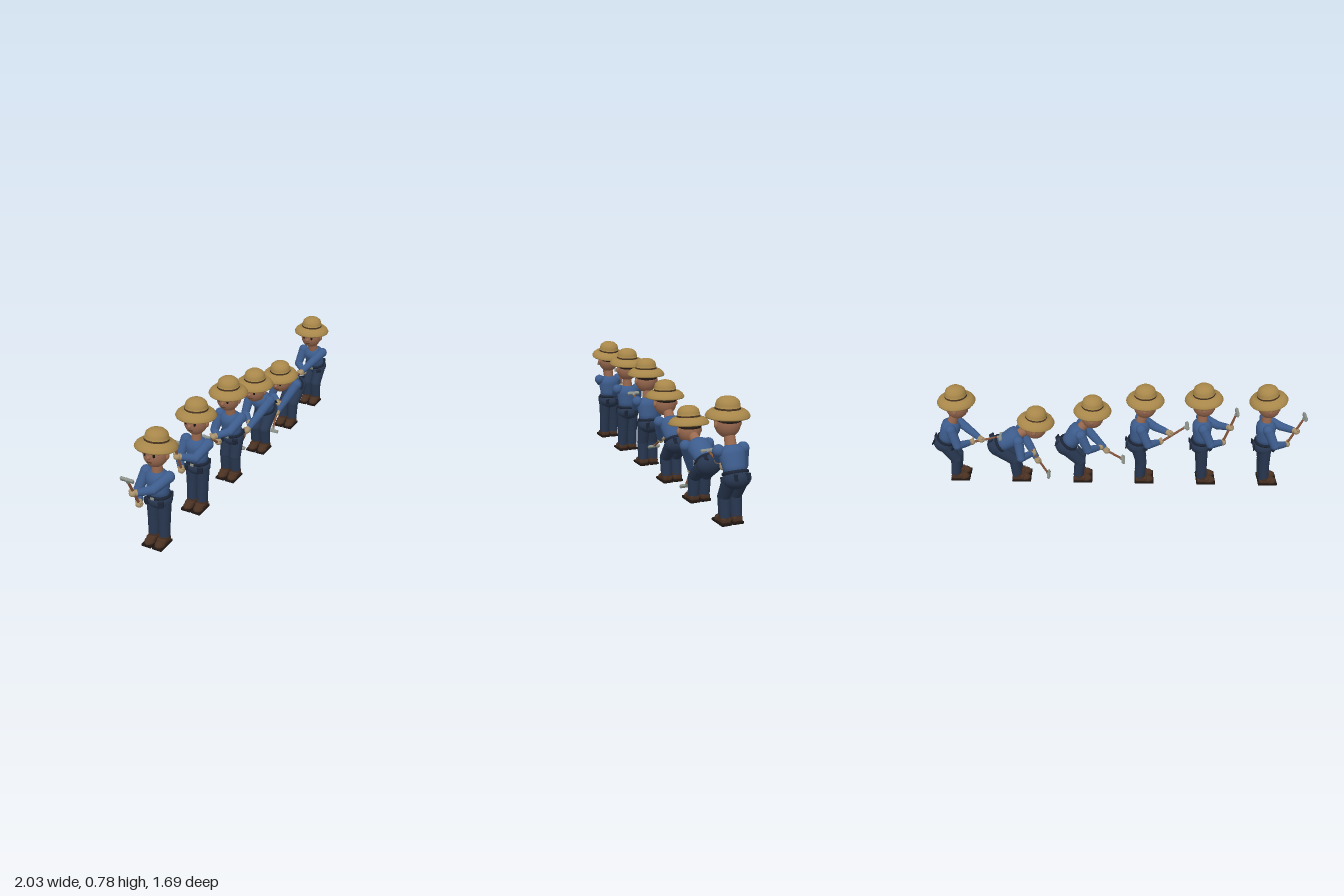
import * as THREE from 'three';
import { RoundedBoxGeometry } from 'three/addons/geometries/RoundedBoxGeometry.js';

const mat = (color, side = THREE.FrontSide) => new THREE.MeshStandardMaterial({ color, side });
const M = {
  straw: mat(0xa8874a, THREE.DoubleSide), band: mat(0x4a3622), hair: mat(0x2c211b), skin: mat(0x9a6a50),
  shirt: mat(0x3d5c8c), pants: mat(0x27364f), belt: mat(0x1c2536), shoe: mat(0x4a3122), sole: mat(0x1e1511),
  glove: mat(0xa8916c), wood: mat(0x85543a), metal: mat(0x8a9088), eye: mat(0x1a1412),
};
const V = (x, y, z) => new THREE.Vector3(x, y, z);
const UP = V(0, 1, 0);

function add(parent, name, geo, material, pos = V(0, 0, 0), scale) {
  const m = new THREE.Mesh(geo, material);
  m.name = name;
  m.position.copy(pos);
  if (scale) m.scale.set(...scale);
  parent.add(m);
  return m;
}
const ball = (r = 1) => new THREE.SphereGeometry(r, 20, 14);
const lathe = (pts, n = 28) => new THREE.LatheGeometry(pts.map(p => new THREE.Vector2(...p)), n);

// Tapered rod between two points
function rod(parent, name, a, b, ra, rb, material) {
  const d = b.clone().sub(a);
  const m = add(parent, name, new THREE.CylinderGeometry(rb, ra, d.length(), 16), material, a.clone().lerp(b, 0.5));
  m.quaternion.setFromUnitVectors(UP, d.normalize());
  return m;
}

// Middle joint of a two-bone limb, bent towards the pole direction
function joint(a, b, la, lb, pole) {
  const d = b.clone().sub(a), len = d.length();
  d.normalize();
  const along = Math.min(la, (la * la - lb * lb + len * len) / (2 * len));
  const out = Math.sqrt(Math.max(0, la * la - along * along));
  const p = pole.clone().addScaledVector(d, -pole.dot(d)).normalize();
  return len >= la + lb ? a.clone().lerp(b, la / (la + lb)) : a.clone().addScaledVector(d, along).addScaledVector(p, out);
}

function makeHead(pose) {
  const g = new THREE.Group();
  g.name = 'head';
  g.position.set(0, pose.head[1], pose.head[0]);
  g.rotation.x = pose.pitch;
  add(g, 'face', ball(), M.skin, V(0, -0.005, 0), [0.076, 0.088, 0.078]);
  add(g, 'hair', ball(), M.hair, V(0, 0.03, -0.01), [0.078, 0.055, 0.077]);
  add(g, 'nose', ball(), M.skin, V(0, -0.015, 0.079), [0.011, 0.012, 0.013]);
  add(g, 'mouth', new RoundedBoxGeometry(0.03, 0.005, 0.008, 2, 0.002), M.hair, V(0, -0.046, 0.066));
  for (const s of [-1, 1]) {
    add(g, 'ear', ball(), M.skin, V(s * 0.076, -0.012, -0.005), [0.01, 0.02, 0.015]);
    add(g, 'eye', ball(), M.eye, V(s * 0.029, 0, 0.069), [0.009, 0.013, 0.006]);
    const brow = add(g, 'eyebrow', new RoundedBoxGeometry(0.024, 0.006, 0.008, 2, 0.002), M.hair, V(s * 0.03, 0.022, 0.07));
    brow.rotation.y = s * 0.4;
  }
  // Straw hat with drooping brim and domed crown
  const hat = new THREE.Group();
  hat.name = 'hat';
  hat.position.y = 0.06;
  add(hat, 'brimAndCrown', lathe([[0.07, -0.004], [0.1, -0.012], [0.118, -0.03], [0.126, -0.032], [0.129, -0.024],
    [0.118, -0.005], [0.1, 0.009], [0.073, 0.015], [0.071, 0.04], [0.064, 0.062], [0.045, 0.078], [0.02, 0.085], [0, 0.086]]), M.straw);
  add(hat, 'hatBand', new THREE.CylinderGeometry(0.0735, 0.0745, 0.011, 28, 1, true), M.band, V(0, 0.02, 0));
  add(hat, 'hatLining', lathe([[0, 0.0], [0.071, -0.004], [0.1, -0.014], [0.117, -0.031]]),
    mat(0x4a3622, THREE.DoubleSide), V(0, -0.001, 0));
  g.add(hat);
  return g;
}

function makeTorso(hip, chest) {
  const g = new THREE.Group();
  g.name = 'torso';
  g.position.copy(hip);
  const d = chest.clone().sub(hip), L = d.length();
  g.quaternion.setFromUnitVectors(UP, d.normalize());
  add(g, 'shirt', lathe([[0, -0.02], [0.066, 0], [0.069, L * 0.3], [0.079, L * 0.7], [0.076, L * 0.88],
    [0.055, L * 1.02], [0.03, L * 1.09], [0, L * 1.1]]), M.shirt, V(0, 0, 0), [1, 1, 0.84]);
  add(g, 'trouserSeat', ball(), M.pants, V(0, -0.025, -0.006), [0.083, 0.058, 0.073]);
  const belt = add(g, 'belt', new THREE.TorusGeometry(0.069, 0.009, 8, 28), M.belt, V(0, 0.012, 0), [1.02, 0.9, 1.2]);
  belt.rotation.x = Math.PI / 2;
  add(g, 'buckle', new RoundedBoxGeometry(0.024, 0.018, 0.008, 2, 0.003), M.metal, V(0, 0.012, 0.071));
  for (const s of [-1, 1]) {
    const pouch = add(g, 'hipPouch', new RoundedBoxGeometry(0.036, 0.042, 0.018, 2, 0.006), M.belt, V(s * 0.052, -0.02, 0.06));
    pouch.rotation.y = s * 0.6;
    const pocket = add(g, 'backPocket', new RoundedBoxGeometry(0.036, 0.038, 0.008, 2, 0.003), M.belt, V(s * 0.036, -0.022, -0.073));
    pocket.rotation.y = s * 0.35;
  }
  return g;
}

function makeArm(pose, s, chest, hand) {
  const g = new THREE.Group();
  g.name = s > 0 ? 'leftArm' : 'rightArm';
  const shoulder = chest.clone().add(V(s * 0.078, -0.012, 0));
  const elbow = joint(shoulder, hand, 0.122, 0.12, V(s * 0.75, -0.6, -0.35));
  const wrist = elbow.clone().lerp(hand, 0.8);
  add(g, 'shoulder', ball(0.036), M.shirt, shoulder);
  rod(g, 'upperSleeve', shoulder, elbow, 0.035, 0.029, M.shirt);
  add(g, 'elbow', ball(0.0295), M.shirt, elbow);
  rod(g, 'lowerSleeve', elbow, wrist, 0.029, 0.022, M.shirt);
  rod(g, 'gloveCuff', wrist, hand, 0.02, 0.018, M.glove);
  add(g, 'glove', ball(), M.glove, hand, [0.023, 0.021, 0.024]);
  add(g, 'thumb', ball(0.0095), M.glove, hand.clone().add(V(-s * 0.014, 0.016, 0.006)));
  return g;
}

function makeLeg(s, hip) {
  const g = new THREE.Group();
  g.name = s > 0 ? 'leftLeg' : 'rightLeg';
  const top = hip.clone().add(V(s * 0.036, -0.028, 0));
  const ankle = V(s * 0.037, 0.045, -0.03);
  const knee = joint(top, ankle, 0.128, 0.122, V(0, 0.1, 1));
  add(g, 'thighTop', ball(0.046), M.pants, top);
  rod(g, 'thigh', top, knee, 0.046, 0.038, M.pants);
  add(g, 'knee', ball(0.0385), M.pants, knee);
  rod(g, 'shin', knee, ankle, 0.038, 0.035, M.pants);
  // Work boot
  add(g, 'sole', new RoundedBoxGeometry(0.069, 0.017, 0.133, 2, 0.006), M.sole, V(s * 0.037, 0.0085, 0));
  add(g, 'bootToe', ball(), M.shoe, V(s * 0.037, 0.02, 0.022), [0.032, 0.028, 0.04]);
  add(g, 'bootHeel', new RoundedBoxGeometry(0.062, 0.038, 0.085, 3, 0.014), M.shoe, V(s * 0.037, 0.031, -0.02));
  add(g, 'bootCollar', new THREE.CylinderGeometry(0.036, 0.034, 0.018, 16), M.shoe, V(s * 0.037, 0.05, -0.028));
  return g;
}

function makeHoe(tip, end) {
  const g = new THREE.Group();
  g.name = 'hoe';
  rod(g, 'handle', end, tip, 0.0085, 0.0075, M.wood);
  const head = new THREE.Group();
  head.name = 'hoeHead';
  head.position.copy(tip);
  head.quaternion.setFromUnitVectors(UP, tip.clone().sub(end).normalize());
  add(head, 'blade', new RoundedBoxGeometry(0.088, 0.024, 0.018, 2, 0.005), M.metal);
  add(head, 'socket', new THREE.CylinderGeometry(0.011, 0.011, 0.03, 12), M.metal, V(0, -0.008, 0));
  g.add(head);
  return g;
}

// Poses as [forward, up]: hip, shoulders, head, upper hand, lower hand, tool tip
const POSES = [
  { hip: [-0.045, 0.325], chest: [-0.045, 0.485], head: [-0.042, 0.625], pitch: -0.17, upper: [0.155, 0.44], lower: [0.1, 0.335], tip: [0.2, 0.555], side: -0.04 },
  { hip: [-0.045, 0.325], chest: [-0.045, 0.485], head: [-0.042, 0.628], pitch: -0.07, upper: [0.145, 0.455], lower: [0.1, 0.335], tip: [0.18, 0.577], side: -0.03 },
  { hip: [-0.05, 0.32], chest: [-0.03, 0.475], head: [-0.002, 0.612], pitch: 0, upper: [0.17, 0.395], lower: [0.105, 0.325], tip: [0.285, 0.455], side: -0.02 },
  { hip: [-0.1, 0.29], chest: [-0.005, 0.42], head: [0.075, 0.522], pitch: 0.02, upper: [0.17, 0.235], lower: [0.125, 0.265], tip: [0.285, 0.16], side: -0.01 },
  { hip: [-0.14, 0.275], chest: [0.0, 0.365], head: [0.115, 0.428], pitch: 0.1, upper: [0.12, 0.15], lower: [0.09, 0.215], tip: [0.19, 0.03], side: -0.02 },
  { hip: [-0.08, 0.305], chest: [-0.02, 0.45], head: [0.025, 0.588], pitch: 0, upper: [0.17, 0.32], lower: [0.1, 0.3], tip: [0.305, 0.345], side: -0.02 },
];

function makeWorker(pose) {
  const g = new THREE.Group();
  g.name = 'fieldWorker';
  const at = ([f, y], x = 0) => V(x, y, f);
  const hip = at(pose.hip), chest = at(pose.chest), head = at(pose.head);
  const upper = at(pose.upper, pose.side), lower = at(pose.lower, pose.side), tip = at(pose.tip, pose.side);
  g.add(makeHead(pose), makeTorso(hip, chest));
  rod(g, 'neck', chest, head, 0.034, 0.03, M.skin);
  for (const s of [1, -1]) g.add(makeArm(pose, s, chest, s > 0 ? upper : lower), makeLeg(s, hip));
  g.add(makeHoe(tip, lower.clone().add(lower.clone().sub(upper).setLength(0.025))));
  return g;
}

export function createModel() {
  const model = new THREE.Group();
  model.name = 'rowOfFieldWorkers';
  // Diagonal row, each worker facing along it
  POSES.forEach((pose, i) => {
    const w = makeWorker(pose);
    w.position.set(-0.8 + 0.331 * i, 0, 0.69 - 0.279 * i);
    w.rotation.y = -0.84;
    model.add(w);
  });
  return model;
}
